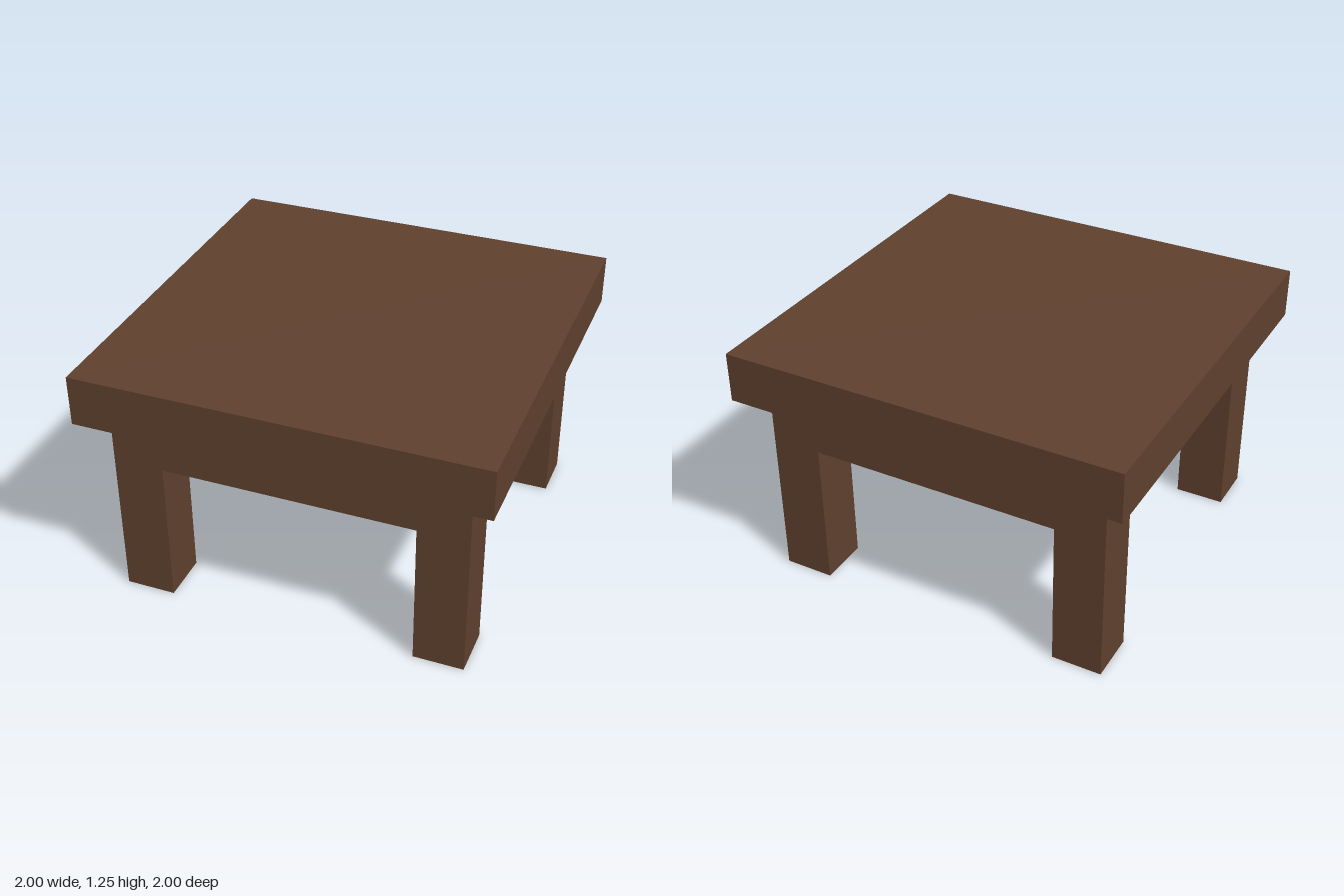
import * as THREE from 'three';

export function createModel() {
  const model = new THREE.Group();
  model.name = 'table';
  const wood = new THREE.MeshStandardMaterial({ color: 0x5f402d });
  wood.name = 'dark brown wood';

  function box(name, w, h, d, x, y, z) {
    const mesh = new THREE.Mesh(new THREE.BoxGeometry(w, h, d), wood);
    mesh.name = name;
    mesh.position.set(x, y, z);
    model.add(mesh);
  }

  const thick = 0.25; // shared by top, legs and rails
  const legX = 0.75; // leg centre offset
  const legHeight = 1;
  const span = 2 * legX - thick; // rail length between legs
  const railY = legHeight - thick / 2;

  // Square top slab
  box('tableTop', 2, thick, 2, 0, legHeight + thick / 2, 0);

  // Corner legs
  for (const [sx, side] of [[1, 'Left'], [-1, 'Right']]) {
    for (const [sz, end] of [[1, 'front'], [-1, 'back']]) {
      box(`${end}${side}Leg`, thick, legHeight, thick, sx * legX, legHeight / 2, sz * legX);
    }
  }

  // Rails joining the legs under the top
  box('frontRail', span, thick, thick, 0, railY, legX);
  box('backRail', span, thick, thick, 0, railY, -legX);
  box('leftRail', thick, thick, span, legX, railY, 0);
  box('rightRail', thick, thick, span, -legX, railY, 0);

  return model;
}
